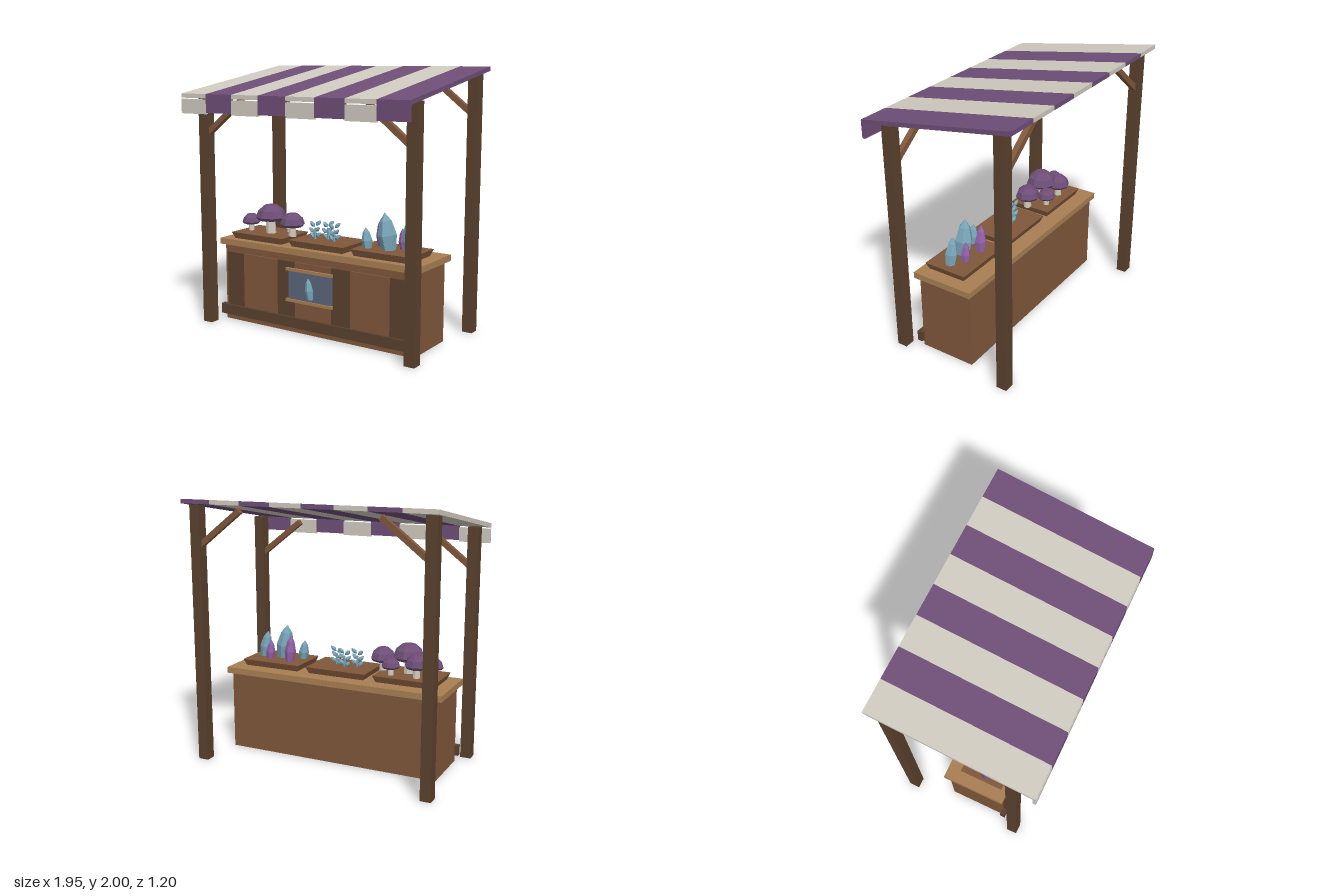
import * as THREE from 'three';

const mat = (name, hex) => {
  const m = new THREE.MeshStandardMaterial({ color: hex });
  m.name = name;
  return m;
};

// Faceted normals for the low-poly pieces
const facet = (geo) => {
  const g = geo.index ? geo.toNonIndexed() : geo;
  g.computeVertexNormals();
  return g;
};

const lathe = (points, sides) =>
  facet(new THREE.LatheGeometry(points.map(([r, y]) => new THREE.Vector2(r, y)), sides));

// Move each vertex of a geometry by a rule
const reshape = (geo, rule) => {
  const p = geo.attributes.position;
  const v = new THREE.Vector3();
  for (let i = 0; i < p.count; i++) {
    rule(v.fromBufferAttribute(p, i));
    p.setXYZ(i, v.x, v.y, v.z);
  }
  return facet(geo);
};

export function createModel() {
  const darkWood = mat('dark wood', 0x5a412d);
  const midWood = mat('brown wood', 0x80573b);
  const lightWood = mat('light wood', 0xa87e52);
  const cream = mat('cream cloth', 0xcfcabf);
  const purple = mat('purple cloth', 0x6e4e77);
  const slate = mat('slate panel', 0x5b667c);
  const blue = mat('blue crystal', 0x78a6b8);
  const violet = mat('violet crystal', 0x9461aa);

  const model = new THREE.Group();
  model.name = 'marketStall';

  const add = (name, geo, material, x = 0, y = 0, z = 0, parent = model) => {
    const m = new THREE.Mesh(geo, material);
    m.name = name;
    m.position.set(x, y, z);
    parent.add(m);
    return m;
  };
  // Box given by its limits on each axis
  const box = (name, material, [x0, x1], [y0, y1], [z0, z1]) =>
    add(name, new THREE.BoxGeometry(x1 - x0, y1 - y0, z1 - z0), material,
      (x0 + x1) / 2, (y0 + y1) / 2, (z0 + z1) / 2);

  // Counter
  box('counterBody', midWood, [-0.853, 0.853], [0, 0.61], [-0.167, 0.276]);
  box('counterTop', lightWood, [-0.89, 0.89], [0.608, 0.655], [-0.19, 0.302]);
  box('bottomRail', darkWood, [-0.88, 0.88], [0.045, 0.125], [0.27, 0.312]);
  for (let i = 0; i < 10; i++) {
    const x = -0.743 + i * 0.165;
    const dark = i % 3 === 0;
    const half = dark ? 0.079 : 0.082;
    box('frontBoard', dark ? darkWood : midWood, [x - half, x + half], [0.06, 0.55], [0.27, dark ? 0.293 : 0.289]);
  }

  // Posts and their corner braces
  for (const side of [-1, 1]) {
    for (const [z, top] of [[0.409, 1.79], [-0.493, 1.955]]) {
      const x = side * 0.909;
      box(z > 0 ? 'frontPost' : 'backPost', darkWood, [x - 0.041, x + 0.041], [0, top], [z - 0.04, z + 0.04]);
      const brace = add('brace', new THREE.BoxGeometry(0.43, 0.042, 0.04), midWood, side * 0.715, top - 0.163, z);
      brace.rotation.z = -side * 0.66;
    }
  }

  // Sloping striped canopy with a hanging front valance
  const pitch = 1.953 / 8;
  for (let i = 0; i < 8; i++) {
    const x = -0.978 + (i + 0.5) * pitch;
    const isCream = i % 2 === 0;
    const cloth = isCream ? cream : purple;
    const strip = reshape(new THREE.BoxGeometry(pitch, 0.032, 1.2), (v) => { v.y -= v.z / 6; });
    add('canopyStripe', strip, cloth, x, 1.884, 0);
    const [y0, y1] = isCream ? [1.652, 1.76] : [1.663, 1.795];
    box('valance', cloth, [x - pitch / 2 + 0.001, x + pitch / 2 - 0.001], [y0, y1], [0.578, 0.603]);
  }

  // Pointed crystal standing on its base, leaning sideways
  const crystal = (name, material, x, y, z, r, h, lean = 0, parent = model) => {
    const geo = lathe([[0, 0], [0.72 * r, 0], [r, 0.42 * h], [0.62 * r, 0.78 * h], [0, h]], 6);
    const m = add(name, geo, material, x, y, z, parent);
    m.rotation.z = lean;
    return m;
  };

  // Hanging sign with a crystal emblem
  box('signPanel', slate, [-0.19, 0.185], [0.265, 0.5], [0.302, 0.334]);
  for (const y of [0.268, 0.505])
    box('signTrim', lightWood, [-0.21, 0.207], [y - 0.011, y + 0.011], [0.325, 0.345]);
  crystal('signCrystal', blue, 0.014, 0.3, 0.338, 0.036, 0.16, 0.14).scale.z = 0.85;

  // Tapered display trays
  for (const x of [-0.558, 0, 0.558]) {
    const geo = reshape(new THREE.BoxGeometry(0.496, 0.05, 0.343), (v) => {
      if (v.y < 0) { v.x *= 0.92; v.z *= 0.89; }
    });
    add('tray', geo, midWood, x, 0.68, 0.087);
  }

  // Mushrooms: x, z, cap radius, cap bottom, cap top
  const mushrooms = [
    [-0.525, 0.11, 0.122, 0.81, 0.928],
    [-0.318, 0.11, 0.097, 0.778, 0.88],
    [-0.725, 0.11, 0.073, 0.76, 0.838],
    [-0.625, 0.01, 0.09, 0.778, 0.88],
    [-0.425, 0.0, 0.072, 0.76, 0.836],
  ];
  for (const [x, z, r, y0, y1] of mushrooms) {
    const h = y1 - y0;
    const group = new THREE.Group();
    group.name = 'mushroom';
    group.position.set(x, 0, z);
    model.add(group);
    const stem = facet(new THREE.CylinderGeometry(r * 0.25, r * 0.32, y0 + 0.02 - 0.7, 8));
    add('stem', stem, cream, 0, (y0 + 0.02 + 0.7) / 2, 0, group);
    const cap = lathe([[0, 0.12 * h], [0.82 * r, 0], [r, 0.2 * h], [0.83 * r, 0.65 * h], [0.42 * r, h], [0, h]], 8);
    add('cap', cap, purple, 0, y0, 0, group);
  }

  // Small branching crystal sprouts: pairs of leaves up a short stalk
  const leaf = lathe([[0, 0], [0.017, 0.022], [0.014, 0.042], [0, 0.062]], 5);
  [-0.105, -0.015, 0.07].forEach((x, i) => {
    const sprout = new THREE.Group();
    sprout.name = 'crystalSprout';
    sprout.position.set(x, 0.7, 0.09 + (i % 2 ? -0.025 : 0.015));
    model.add(sprout);
    add('stalk', facet(new THREE.CylinderGeometry(0.007, 0.01, 0.09, 5)), blue, 0, 0.045, 0, sprout);
    for (let tier = 0; tier < 3; tier++) {
      for (const side of [-1, 1]) {
        const m = add('leaf', leaf, blue, side * 0.004, 0.012 + tier * 0.045 + side * 0.006, 0, sprout);
        m.rotation.set(tier === 1 ? 0.35 : -0.2, 0, -side * 0.82);
      }
    }
  });

  // Large crystals: material, x, z, radius, height, lean
  const crystals = [
    [blue, 0.55, 0.115, 0.07, 0.285, 0.14],
    [blue, 0.39, 0.145, 0.04, 0.165, 0.12],
    [blue, 0.72, 0.1, 0.048, 0.225, 0.18],
    [violet, 0.45, 0.03, 0.045, 0.222, 0.08],
    [violet, 0.63, 0.035, 0.036, 0.165, 0.1],
  ];
  for (const [material, x, z, r, h, lean] of crystals)
    crystal('crystal', material, x, 0.69, z, r, h, lean);

  return model;
}
